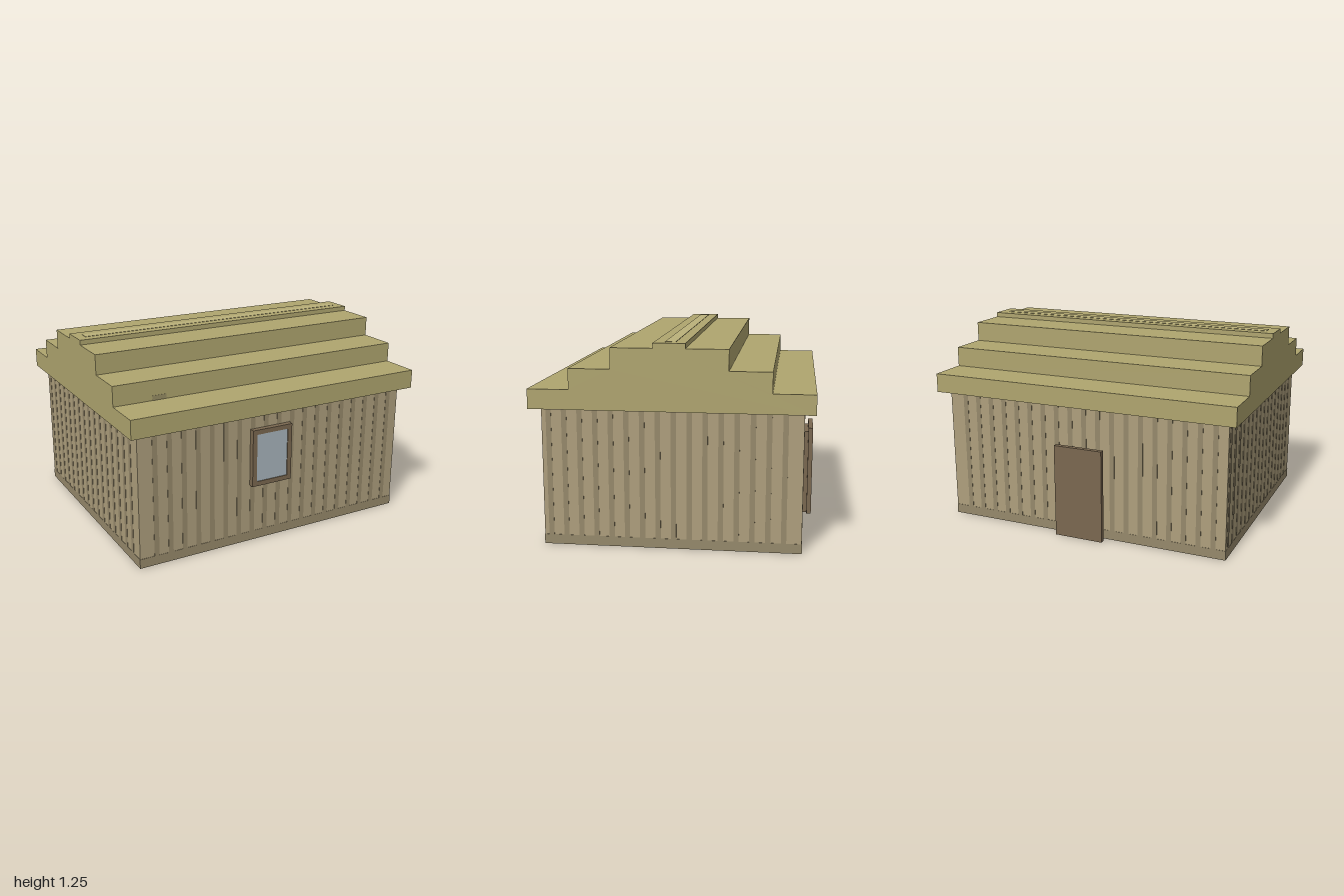
import * as THREE from 'three';

const paint = (color) => new THREE.MeshStandardMaterial({ color });
const wallMat = paint(0xae9f7d), stripeMat = paint(0x96896b), roofMat = paint(0xafa56f);
const ridgeMat = paint(0xbbb17a), woodMat = paint(0x7a6850), glassMat = paint(0xa8b4bc);
const patchMat = paint(0x968d64);

const HX = 0.94, HZ = 0.78, WALL_H = 0.85, BASE_H = 0.06, SKIN = 0.002;

// Box given by its min and max corners
function box(parent, name, mat, [x0, y0, z0], [x1, y1, z1]) {
  const mesh = new THREE.Mesh(new THREE.BoxGeometry(x1 - x0, y1 - y0, z1 - z0), mat);
  mesh.position.set((x0 + x1) / 2, (y0 + y1) / 2, (z0 + z1) / 2);
  mesh.name = name;
  parent.add(mesh);
  return mesh;
}

// Dark plank grooves across one wall, drawn facing +z and then turned
function plankStripes(name, halfWidth, depth, first, angle) {
  const group = new THREE.Group();
  group.name = name;
  for (let x = -halfWidth + first; x < halfWidth - 0.02; x += 0.094) {
    box(group, 'plankStripe', stripeMat, [x - 0.016, BASE_H, depth - 0.01], [x + 0.016, WALL_H, depth + SKIN]);
  }
  group.rotation.y = angle;
  return group;
}

function rectPath(target, x0, y0, x1, y1) {
  target.moveTo(x0, y0);
  target.lineTo(x1, y0);
  target.lineTo(x1, y1);
  target.lineTo(x0, y1);
  target.closePath();
  return target;
}

export function createModel() {
  const house = new THREE.Group();
  house.name = 'cabin';

  // Walls with a darker band at the foot
  box(house, 'walls', wallMat, [-HX, 0, -HZ], [HX, WALL_H, HZ]);
  box(house, 'baseBand', stripeMat, [-HX - SKIN, 0, -HZ - SKIN], [HX + SKIN, BASE_H, HZ + SKIN]);
  house.add(
    plankStripes('frontStripes', HX, HZ, 0.11, 0),
    plankStripes('backStripes', HX, HZ, 0.11, Math.PI),
    plankStripes('leftStripes', HZ, HX, 0.043, Math.PI / 2),
    plankStripes('rightStripes', HZ, HX, 0.043, -Math.PI / 2)
  );

  // Stepped roof: a staircase profile swept along x
  const steps = [[0.845, 0.85, 0.97], [0.595, 0.97, 1.095], [0.345, 1.095, 1.22], [0.095, 1.22, 1.25]];
  const half = steps.flatMap(([w, y0, y1]) => [[w, y0], [w, y1]]);
  const outline = [...half, ...half.map(([w, y]) => [-w, y]).reverse()];
  const roofShape = new THREE.Shape(outline.map(([a, b]) => new THREE.Vector2(a, b)));
  const roofGeo = new THREE.ExtrudeGeometry(roofShape, { depth: 2, bevelEnabled: false });
  roofGeo.translate(0, 0, -1);
  roofGeo.rotateY(Math.PI / 2);
  const roof = new THREE.Mesh(roofGeo, roofMat);
  roof.name = 'steppedRoof';
  house.add(roof);
  box(house, 'ridgeStrip', ridgeMat, [-HX, 1.24, -0.032], [HX, 1.25 + SKIN, 0.032]);
  box(house, 'roofPatch', patchMat, [-0.75, 0.97, 0.585], [-0.66, 1.0, 0.595 + SKIN]);

  // Window on the front: open frame with a pane set in it
  const frameShape = rectPath(new THREE.Shape(), -0.19, 0.38, 0.09, 0.75);
  frameShape.holes.push(rectPath(new THREE.Path(), -0.16, 0.41, 0.06, 0.72));
  const frame = new THREE.Mesh(new THREE.ExtrudeGeometry(frameShape, { depth: 0.035, bevelEnabled: false }), woodMat);
  frame.position.z = HZ;
  frame.name = 'windowFrame';
  house.add(frame);
  box(house, 'windowPane', glassMat, [-0.16, 0.41, HZ], [0.06, 0.72, 0.81]);

  // Door on the back: narrower backing behind the outer leaf
  box(house, 'doorBacking', woodMat, [-0.13, 0, -0.815], [0.13, 0.565, -HZ]);
  box(house, 'doorLeaf', woodMat, [-0.16, 0, -0.845], [0.16, 0.595, -0.815]);

  return house;
}
